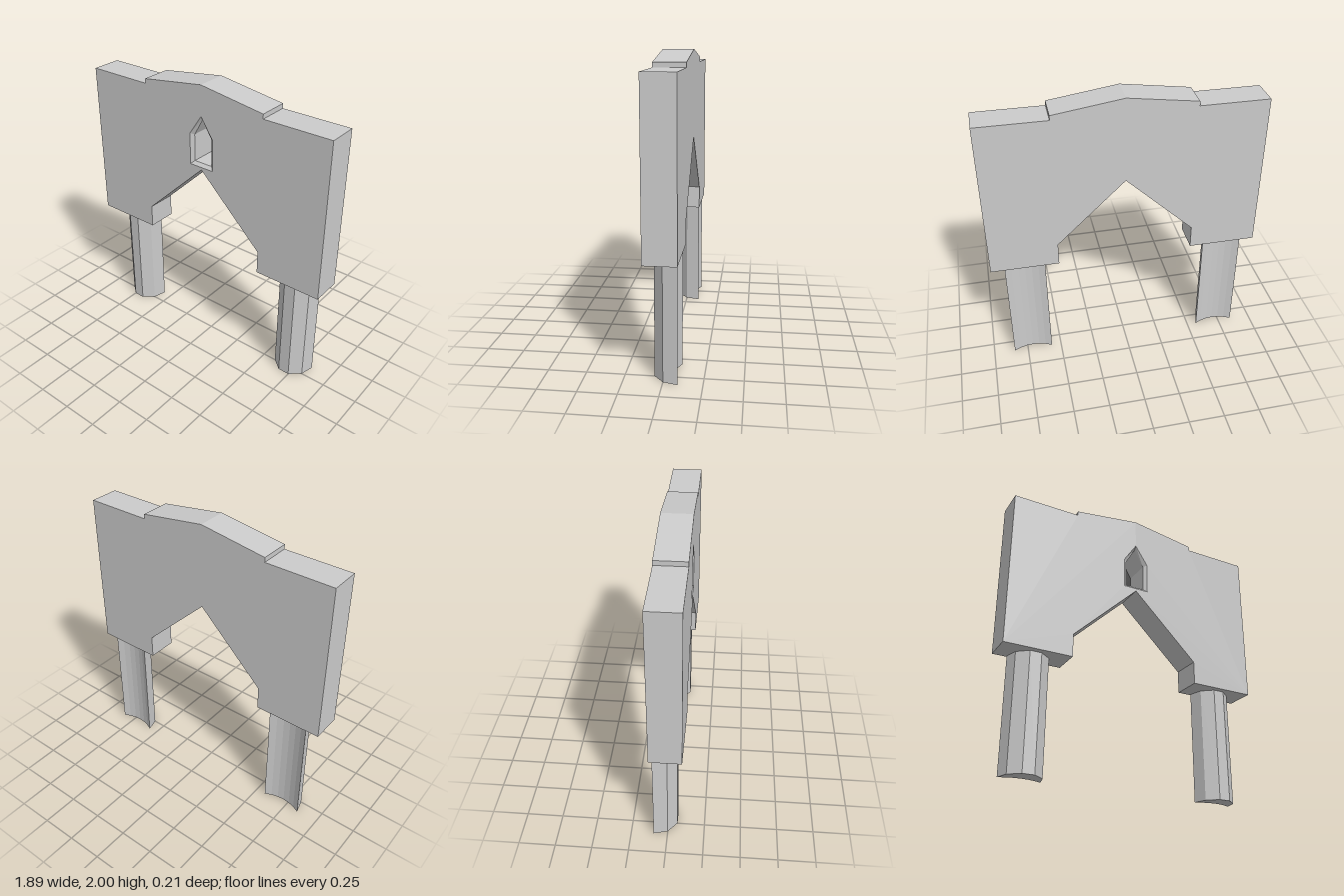
import * as THREE from 'three';

const HALF = 0.105; // half thickness of the wall
const CHAMFER = 0.02;

const grey = () => new THREE.MeshStandardMaterial({ color: 0xcccccc, flatShading: true });
const vec = (pts) => pts.map(([x, y]) => new THREE.Vector2(x, y));

function add(parent, name, geometry, material = grey()) {
  const mesh = new THREE.Mesh(geometry, material);
  mesh.name = name;
  parent.add(mesh);
  return mesh;
}

// Pointed window outline, counter-clockwise
const windowOutline = (w, bottom, shoulder, tip) =>
  vec([[-w, bottom], [w, bottom], [w, shoulder], [0, tip], [-w, shoulder]]);

const inner = windowOutline(0.07, 1.45, 1.64, 1.765);
const outer = windowOutline(0.093, 1.428, 1.65, 1.79);

function wallGeometry() {
  // Right half of the outline, from the arch tip round to the ridge
  const half = [[0, 1.41], [0.472, 0.955], [0.472, 0.793], [0.945, 0.793],
    [0.945, 1.9], [0.472, 1.9], [0.472, 1.932], [0, 2]];
  const mirrored = half.slice(1, -1).reverse().map(([x, y]) => [-x, y]);
  const shape = new THREE.Shape(vec([...half, ...mirrored]));
  shape.holes.push(new THREE.Path(inner));

  const geometry = new THREE.ExtrudeGeometry(shape, { depth: 2 * HALF, steps: 2, bevelEnabled: false });
  geometry.translate(0, 0, -HALF);

  // Middle ring moves close to the front; the front rim of the window flares out
  const p = geometry.attributes.position;
  for (let i = 0; i < p.count; i++) {
    const z = p.getZ(i);
    if (Math.abs(z) < 0.01) p.setZ(i, HALF - CHAMFER);
    if (z < HALF - 0.001) continue;
    const k = inner.findIndex((v) => Math.hypot(v.x - p.getX(i), v.y - p.getY(i)) < 1e-4);
    if (k >= 0) p.setXY(i, outer[k].x, outer[k].y);
  }
  geometry.computeVertexNormals();
  return geometry;
}

function legGeometry() {
  // Plan of a leg (x, z): faceted front, hollowed back
  const plan = [[0.14, -0.095], [0.115, 0], [0.04, 0.062], [-0.04, 0.062], [-0.115, 0], [-0.14, -0.095]];
  const segments = 6;
  for (let i = 1; i < segments; i++) {
    const t = (2 * i) / segments - 1;
    plan.push([0.14 * t, -0.095 + 0.038 * (1 - t * t)]);
  }
  const shape = new THREE.Shape(vec(plan.map(([x, z]) => [x, -z])));
  const geometry = new THREE.ExtrudeGeometry(shape, { depth: 0.8, bevelEnabled: false });
  geometry.rotateX(-Math.PI / 2);
  return geometry;
}

export function createModel() {
  const model = new THREE.Group();
  model.name = 'archway';

  add(model, 'archWall', wallGeometry());

  // Window is blind: dark panel inside, closed flush at the back
  const dark = new THREE.MeshStandardMaterial({ color: 0x050505 });
  const panel = new THREE.ShapeGeometry(new THREE.Shape(inner));
  add(model, 'windowPanel', panel, dark).position.z = -HALF + 0.004;
  const backing = add(model, 'windowBacking', panel.clone().rotateY(Math.PI));
  backing.position.z = -HALF;

  // Pair of legs
  for (const [name, side] of [['leftLeg', 1], ['rightLeg', -1]]) {
    add(model, name, legGeometry()).position.x = side * 0.709;
  }
  return model;
}
